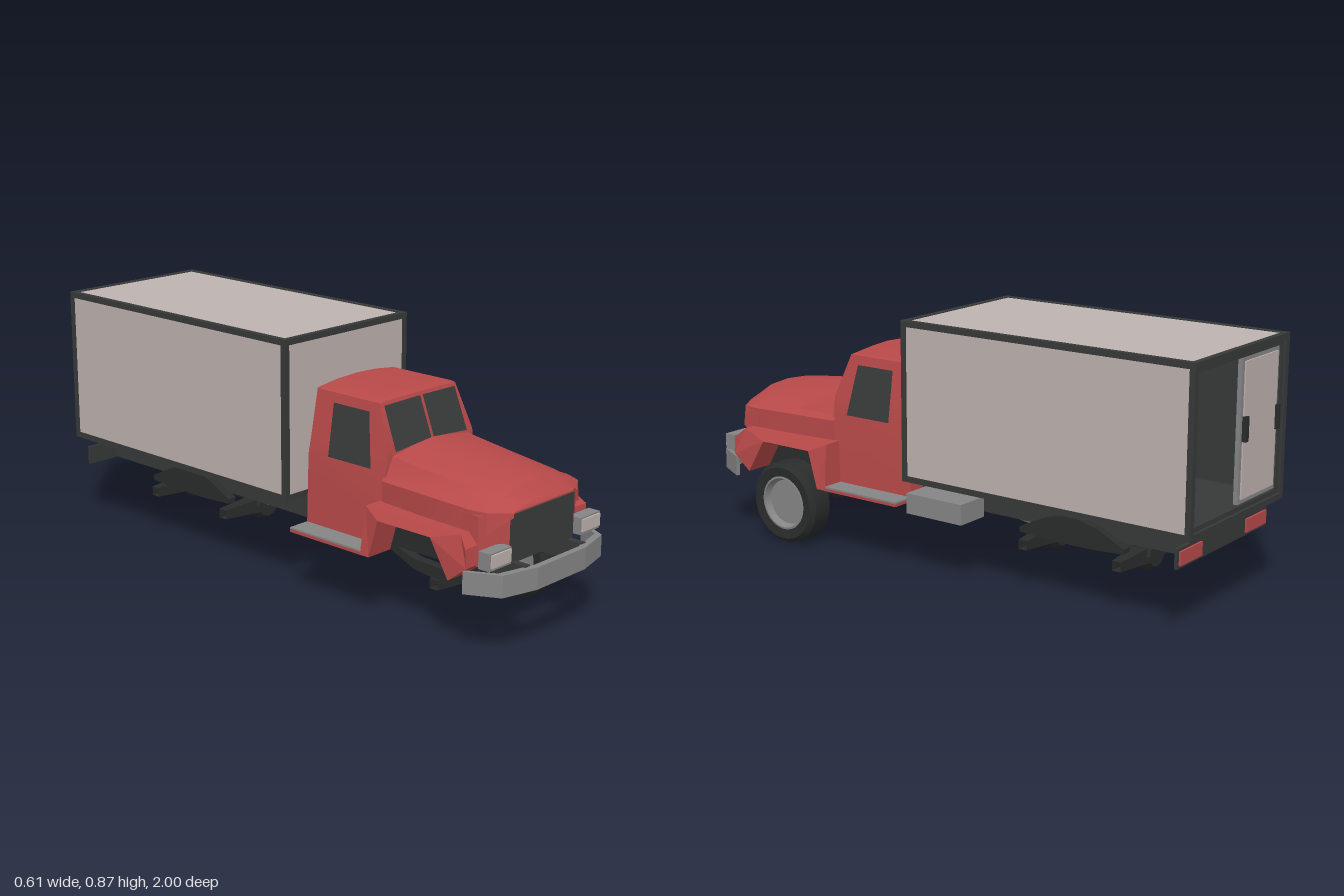
import * as THREE from 'three';
import { mergeGeometries, toCreasedNormals } from 'three/addons/utils/BufferGeometryUtils.js';

const mat = (name, color, side = THREE.FrontSide) => {
  const m = new THREE.MeshStandardMaterial({ color, side });
  m.name = name;
  return m;
};

export function createModel() {
  const D = THREE.DoubleSide;
  const red = mat('redPaint', 0xb84949, D);
  const pale = mat('palePanel', 0xbdb2af);
  const dark = mat('darkFrame', 0x373939, D);
  const black = mat('blackRubber', 0x2a2b2b, D);
  const glass = mat('darkGlass', 0x393b3b, D);
  const grey = mat('greyMetal', 0x858585, D);

  const truck = new THREE.Group();
  truck.name = 'boxTruck';
  const add = (name, geo, material) => {
    const m = new THREE.Mesh(geo, material);
    m.name = name;
    truck.add(m);
    return m;
  };
  // Box given by its limits on each axis
  const box = (name, x0, x1, y0, y1, z0, z1, material) =>
    add(name, new THREE.BoxGeometry(x1 - x0, y1 - y0, z1 - z0)
      .translate((x0 + x1) / 2, (y0 + y1) / 2, (z0 + z1) / 2), material);
  const extrude = (pts, depth) => new THREE.ExtrudeGeometry(
    new THREE.Shape(pts.map(p => new THREE.Vector2(p[0], p[1]))), { depth, bevelEnabled: false });
  // Plan outline (x, z) raised from y0 to y1
  const plan = (pts, y0, y1) => extrude(pts.map(([x, z]) => [x, -z]), y1 - y0)
    .rotateX(-Math.PI / 2).translate(0, y0, 0);
  // Side outline (z, y) spread from x0 to x1
  const side = (pts, x0, x1) => extrude(pts, x1 - x0).rotateY(-Math.PI / 2).translate(x1, 0, 0);
  // Half outline mirrored in x into a closed loop
  const mirrored = pts => [...pts, ...pts.map(([x, z]) => [-x, z]).reverse()];
  // Surface through rows of points
  const grid = rows => {
    const n = rows[0].length, index = [];
    for (let i = 0; i < rows.length - 1; i++) for (let j = 0; j < n - 1; j++) {
      const a = i * n + j, b = a + 1, d = a + n, c = d + 1;
      index.push(a, d, c, a, c, b);
    }
    const g = new THREE.BufferGeometry();
    g.setAttribute('position', new THREE.Float32BufferAttribute(rows.flat(2), 3));
    g.setIndex(index);
    g.computeVertexNormals();
    return g;
  };
  const rod = (name, a, b, r, material) => {
    const A = new THREE.Vector3(...a), B = new THREE.Vector3(...b), d = B.clone().sub(A);
    const m = add(name, new THREE.CylinderGeometry(r, r, d.length(), 10), material);
    m.position.copy(A).add(B).multiplyScalar(0.5);
    m.quaternion.setFromUnitVectors(new THREE.Vector3(0, 1, 0), d.normalize());
  };

  // Cargo box: twelve edge bars, outer panels and dark lining
  const X = 0.293, Y0 = 0.322, Y1 = 0.865, Z0 = -1, Z1 = 0.1, T = 0.02;
  for (const s of [0, 1]) {
    const xa = s ? X - T : -X, ya = s ? Y1 - T : Y0, za = s ? Z1 - T : Z0;
    for (const y of [Y0, Y1 - T]) box('cargoLongBar', xa, xa + T, y, y + T, Z0, Z1, dark);
    for (const z of [Z0, Z1 - T]) {
      box('cargoCrossBar', -X, X, ya, ya + T, z, z + T, dark);
      box('cargoPost', xa, xa + T, Y0, Y1, z, z + T, dark);
    }
    const i = T - 0.003, o = 0.003;
    const xo = s ? X - o : -X + o, yo = s ? Y1 - o : Y0 + o, k = s ? -0.007 : 0.007;
    const span = (p, q) => [Math.min(p, q), Math.max(p, q)];
    box('cargoSidePanel', ...span(xo, xo + k), Y0 + i, Y1 - i, Z0 + i, Z1 - i, pale);
    box('cargoSideLining', ...span(xo + k, xo + 2 * k), Y0 + i, Y1 - i, Z0 + i, Z1 - i, dark);
    box(s ? 'cargoRoof' : 'cargoFloor', -X + i, X - i, ...span(yo, yo + k), Z0 + i, Z1 - i, pale);
    box('cargoDeckLining', -X + i, X - i, ...span(yo + k, yo + 2 * k), Z0 + i, Z1 - i, dark);
    // Rear opening frame
    const xf = s ? X - 0.034 : -X + T, yf = s ? Y1 - 0.036 : Y0 + T;
    box('rearFramePost', xf, xf + 0.014, Y0 + T, Y1 - T, -0.99, -0.965, dark);
    box('rearFrameBar', -X + T, X - T, yf, yf + 0.016, -0.99, -0.965, dark);
  }
  box('cargoFrontPanel', -0.276, 0.276, 0.339, 0.848, 0.09, 0.097, pale);
  box('cargoFrontLining', -0.276, 0.276, 0.339, 0.848, 0.083, 0.09, dark);

  // Single rear door
  box('rearDoor', -0.26, -0.02, 0.36, 0.828, -0.983, -0.968, grey);
  box('rearDoorPanel', -0.245, -0.035, 0.375, 0.813, -0.988, -0.982, pale);
  for (const x of [-0.05, -0.255]) box('doorHandle', x, x + 0.018, 0.56, 0.64, -0.998, -0.983, black);

  // Chassis
  for (const s of [-1, 1]) {
    const x = s * 0.14;
    box('chassisRail', x - 0.012, x + 0.012, 0.225, 0.29, -0.945, 0.975, dark);
    box('subframeRail', x - 0.02, x + 0.02, 0.288, 0.322, -0.855, 0.1, dark);
  }
  for (const z of [-0.9, -0.68, -0.5, -0.32, -0.05, 0.25, 0.5])
    box('crossMember', -0.14, 0.14, 0.24, 0.28, z - 0.02, z + 0.02, dark);
  box('rearLightBar', -0.28, 0.28, 0.225, 0.29, -0.95, -0.94, dark);
  for (const x of [-0.27, 0.14]) box('tailLight', x, x + 0.13, 0.235, 0.28, -0.957, -0.949, red);
  box('sideTank', 0.16, 0.285, 0.21, 0.28, -0.14, 0.09, grey);
  box('transferCase', -0.05, 0.05, 0.18, 0.235, 0.02, 0.16, grey);
  rod('frontDriveShaft', [0, 0.165, 0.63], [0, 0.19, 0.14], 0.012, black);
  rod('rearDriveShaft', [0, 0.21, 0.03], [0, 0.16, -0.3], 0.012, grey);
  rod('tandemDriveShaft', [0, 0.157, -0.33], [0, 0.157, -0.67], 0.012, black);

  // Axles with round centre housings and square tapered tubes
  for (const z of [0.65, -0.32, -0.68]) {
    const prof = [[0, -0.035], [0.045, -0.035], [0.06, -0.012], [0.06, 0.012], [0.045, 0.035], [0, 0.035]]
      .map(p => new THREE.Vector2(...p));
    add('axleHousing', toCreasedNormals(new THREE.LatheGeometry(prof, 12).rotateX(Math.PI / 2), 0.4)
      .translate(0, 0.155, z), black);
    for (const s of [-1, 1])
      add('axleTube', toCreasedNormals(new THREE.CylinderGeometry(0.023, 0.036, 0.15, 4, 1, true)
        .rotateY(Math.PI / 4).rotateZ(-s * Math.PI / 2), 0.4).translate(s * 0.115, 0.155, z), black);
  }

  // Leaf springs
  const rearLeaf = [[-0.3, 0.195], [-0.3, 0.212], [-0.4, 0.26], [-0.47, 0.277], [-0.53, 0.277],
    [-0.6, 0.26], [-0.7, 0.212], [-0.7, 0.195], [-0.58, 0.188], [-0.42, 0.188]];
  const frontLeaf = [[0.45, 0.25], [0.56, 0.215], [0.65, 0.21], [0.74, 0.215], [0.85, 0.25],
    [0.85, 0.225], [0.74, 0.18], [0.65, 0.17], [0.56, 0.18], [0.45, 0.225]];
  for (const x of [-0.163, 0.163]) {
    add('rearSpring', side(rearLeaf, x - 0.017, x + 0.017), black);
    add('frontSpring', side(frontLeaf, x - 0.017, x + 0.017), black);
  }

  // One front wheel
  const lathe = pts => toCreasedNormals(new THREE.LatheGeometry(pts.map(p => new THREE.Vector2(...p)), 32)
    .rotateZ(-Math.PI / 2), 0.5).translate(0.243, 0.145, 0.65);
  add('tire', lathe([[0.095, -0.045], [0.13, -0.052], [0.145, -0.036], [0.145, 0.036],
    [0.13, 0.052], [0.097, 0.048], [0.095, 0.02]]), black);
  add('wheelRim', lathe([[0, -0.03], [0.095, -0.045], [0.1, 0.046], [0.09, 0.048],
    [0.08, 0.025], [0, 0.025]]), grey);

  // Cab shell: rings of [y, half width, back z, front edge z, front middle z, crown]
  const steps = [-1, -0.5, 0, 0.5, 1];
  const rings = [
    [0.23, 0.22, 0.125, 0.46, 0.46, 0],
    [0.48, 0.217, 0.13, 0.468, 0.474, 0],
    [0.545, 0.207, 0.134, 0.468, 0.476, 0],
    [0.695, 0.184, 0.14, 0.41, 0.418, 0.006],
    [0.7, 0.178, 0.143, 0.394, 0.402, 0.014],
  ].map(([y, w, zb, zf, zc, crown]) => {
    const at = (u, z) => [u * w, y + crown * (1 - u * u), z];
    return {
      back: steps.map(u => at(u, zb)),
      front: steps.map(u => at(u, zc + (zf - zc) * Math.abs(u))),
    };
  });
  const walls = grid(rings.map(r => [...r.back, ...[...r.front].reverse(), r.back[0]]));
  const roof = grid([rings[4].back, rings[4].front]);
  const floor = grid([rings[0].front, rings[0].back]);
  add('cab', toCreasedNormals(mergeGeometries([walls, roof, floor]), 0.4), red);

  // Windows as thin faces just outside the shell
  const shieldZ = (x, y) => 0.48 - 0.058 * (y - 0.545) / 0.15 - 0.04 * Math.abs(x);
  const sideX = y => 0.187 + (0.695 - y) * 0.153;
  for (const s of [-1, 1]) {
    const p = (x, y) => [s * x, y, shieldZ(x, y)];
    add('windshield', grid([[p(0.006, 0.56), p(0.174, 0.546)], [p(0.006, 0.69), p(0.171, 0.686)]]), glass);
    const q = (z, y) => [s * sideX(y), y, z];
    add('sideWindow', grid([[q(0.22, 0.487), q(0.406, 0.487)], [q(0.22, 0.663), q(0.374, 0.663)]]), glass);
  }

  // Hood: half sections swept forward along z
  const sections = [
    [0.46, [[0.22, 0.36], [0.226, 0.46], [0.212, 0.478], [0.185, 0.535], [0.09, 0.552], [0, 0.56]]],
    [0.65, [[0.238, 0.36], [0.238, 0.46], [0.21, 0.476], [0.178, 0.512], [0.09, 0.535], [0, 0.541]]],
    [0.83, [[0.245, 0.36], [0.245, 0.458], [0.205, 0.474], [0.165, 0.495], [0.09, 0.516], [0, 0.523]]],
    [0.885, [[0.235, 0.385], [0.225, 0.455], [0.19, 0.468], [0.15, 0.486], [0.09, 0.507], [0, 0.514]]],
    [0.932, [[0.16, 0.435], [0.158, 0.45], [0.145, 0.457], [0.12, 0.463], [0.08, 0.468], [0, 0.47]]],
  ];
  add('hood', toCreasedNormals(grid(sections.map(([z, pts]) => [
    ...pts.map(([x, y]) => [-x, y, z]),
    ...pts.slice(0, -1).reverse().map(([x, y]) => [x, y, z]),
  ])), 0.45), red);

  // Nose, grille and engine bay
  add('nose', plan(mirrored([[0.245, 0.8], [0.245, 0.865], [0.158, 0.918]]), 0.285, 0.445), red);
  box('grille', -0.158, 0.158, 0.285, 0.44, 0.915, 0.922, glass);
  box('engineBay', -0.185, 0.185, 0.24, 0.42, 0.46, 0.82, black);

  // Fenders, running boards and headlights
  const fender = [[0.87, 0.295], [0.865, 0.355], [0.83, 0.39], [0.445, 0.39], [0.44, 0.23],
    [0.476, 0.23], [0.513, 0.36], [0.727, 0.36], [0.8, 0.24]];
  for (const s of [-1, 1]) {
    const span = (a, b) => (s > 0 ? [a, b] : [-b, -a]);
    const g = side(fender, ...span(0.2, 0.303)), p = g.attributes.position;
    for (let i = 0; i < p.count; i++)
      if (Math.abs(p.getX(i)) > 0.25 && p.getY(i) > 0.38) p.setX(i, s * 0.283);
    g.computeVertexNormals();
    add('fender', g, red);
    box('wheelWellLiner', ...span(0.18, 0.28), 0.35, 0.358, 0.51, 0.73, black);
    box('runningBoard', ...span(0.21, 0.3), 0.228, 0.238, 0.125, 0.445, red);
    box('runningBoardTread', ...span(0.21, 0.3), 0.238, 0.244, 0.125, 0.445, grey);
    box('headlightHousing', ...span(0.175, 0.277), 0.296, 0.352, 0.895, 0.938, grey);
    box('headlightLens', ...span(0.18, 0.272), 0.306, 0.347, 0.937, 0.944, pale);
  }

  // Wraparound front bumper
  add('frontBumper', plan(mirrored([[0.11, 0.978], [0.245, 0.945], [0.293, 0.857],
    [0.307, 0.86], [0.25, 0.968], [0.12, 1]].slice(0, 3))
    .concat(mirrored([[0.12, 1], [0.25, 0.968], [0.307, 0.86]]).reverse())
    .length ? [[-0.307, 0.86], [-0.25, 0.968], [-0.12, 1], [0.12, 1], [0.25, 0.968], [0.307, 0.86],
      [0.293, 0.857], [0.245, 0.945], [0.11, 0.978], [-0.11, 0.978], [-0.245, 0.945], [-0.293, 0.857]]
    : [], 0.214, 0.286), grey);

  return truck;
}
